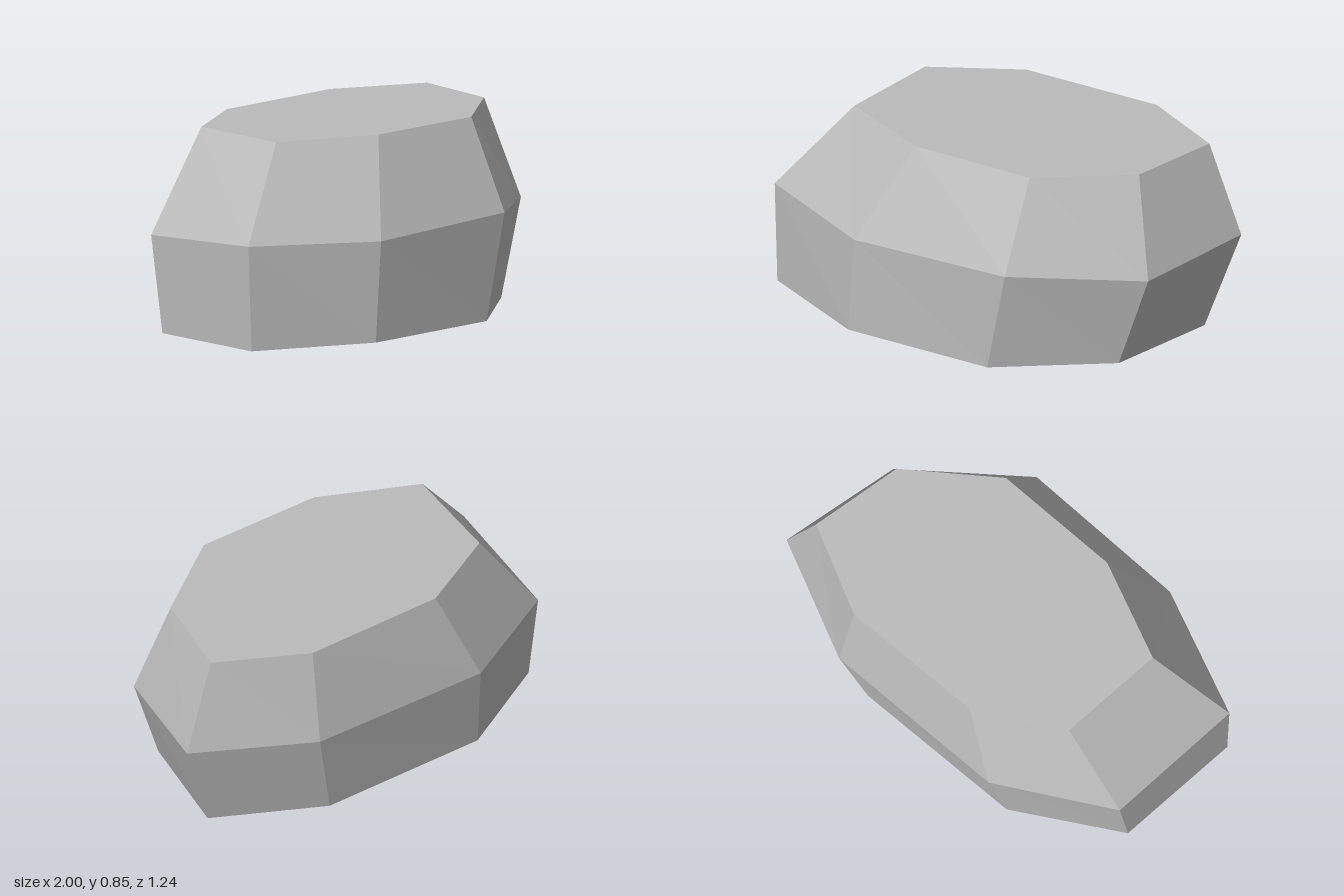
import * as THREE from 'three';

// Rings of eight [x, y, z] corners, counter-clockwise seen from above
const base = [
  [0.195, 0, 0.595], [0.68, 0, 0.31], [0.845, 0, -0.185], [0.4, 0, -0.47],
  [-0.38, 0, -0.55], [-0.865, 0, -0.34], [-0.985, 0, 0.225], [-0.5, 0, 0.525],
];
const waist = [
  [0.29, 0.46, 0.62], [0.82, 0.417, 0.31], [1, 0.445, -0.225], [0.51, 0.43, -0.53],
  [-0.335, 0.42, -0.62], [-0.865, 0.42, -0.4], [-1, 0.455, 0.22], [-0.47, 0.435, 0.53],
];
const crown = [
  [0.313, 0.85, 0.425], [0.718, 0.85, 0.19], [0.853, 0.85, -0.215], [0.485, 0.85, -0.455],
  [-0.165, 0.85, -0.52], [-0.568, 0.85, -0.355], [-0.67, 0.85, 0.12], [-0.262, 0.85, 0.36],
];

// Joins the rings with side facets and closes both ends
function loftRings(rings) {
  const n = rings[0].length;
  const index = [];
  for (let r = 0; r < rings.length - 1; r++) {
    for (let i = 0; i < n; i++) {
      const a = r * n + i, b = r * n + (i + 1) % n;
      index.push(a, b, a + n, b, b + n, a + n);
    }
  }
  const last = (rings.length - 1) * n;
  for (let i = 1; i < n - 1; i++) {
    index.push(0, i + 1, i);
    index.push(last, last + i, last + i + 1);
  }
  const indexed = new THREE.BufferGeometry();
  indexed.setAttribute('position', new THREE.Float32BufferAttribute(rings.flat(2), 3));
  indexed.setIndex(index);
  const geometry = indexed.toNonIndexed();
  geometry.computeVertexNormals();
  return geometry;
}

export function createModel() {
  const stone = new THREE.MeshStandardMaterial({ color: 0xbbbbbb, flatShading: true });
  stone.name = 'stone grey';

  const rock = new THREE.Mesh(loftRings([base, waist, crown]), stone);
  rock.name = 'rock';

  const model = new THREE.Group();
  model.name = 'flatToppedRock';
  model.add(rock);
  return model;
}
